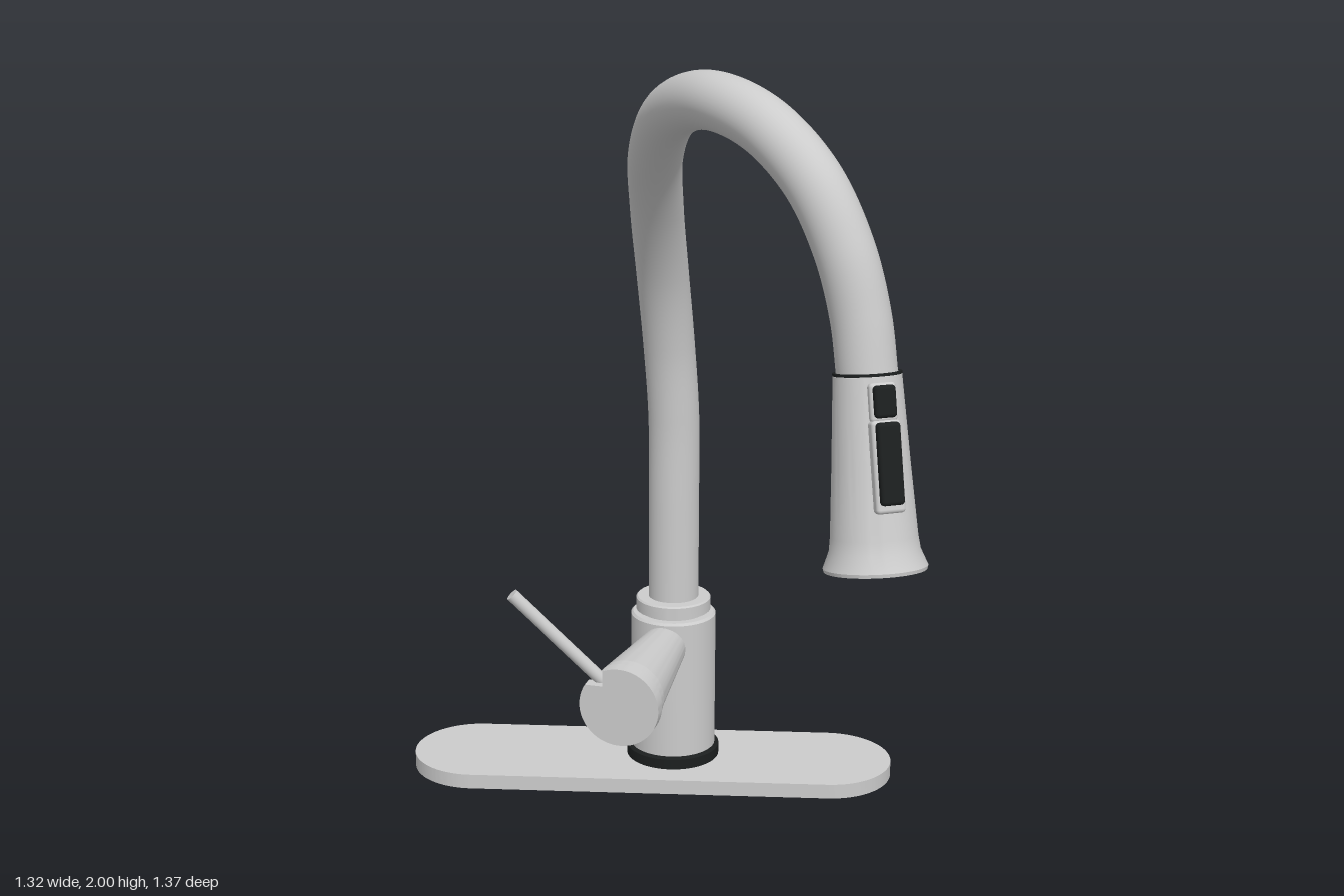
import * as THREE from 'three';
import { RoundedBoxGeometry } from 'three/addons/geometries/RoundedBoxGeometry.js';
import { toCreasedNormals } from 'three/addons/utils/BufferGeometryUtils.js';

const grey = new THREE.MeshStandardMaterial({ color: 0xcccccc });
const black = new THREE.MeshStandardMaterial({ color: 0x1c1f1f });
const AXIS_X = 0.044, AXIS_Z = -0.535;

function add(parent, name, geometry, material = grey) {
  const mesh = new THREE.Mesh(geometry, material);
  mesh.name = name;
  parent.add(mesh);
  return mesh;
}

// Turned part from [radius, height] pairs, listed bottom to top
function turned(points, segments = 64) {
  const profile = points.map(([r, y]) => new THREE.Vector2(r, y));
  return toCreasedNormals(new THREE.LatheGeometry(profile, segments), 0.5);
}

function extrude(shape, depth) {
  const g = new THREE.ExtrudeGeometry(shape, { depth, bevelEnabled: false, curveSegments: 40 });
  return toCreasedNormals(g, 0.5);
}

// Rod between two points
function rod(parent, name, a, b, r) {
  const dir = b.clone().sub(a);
  const mesh = add(parent, name, new THREE.CylinderGeometry(r, r, dir.length(), 24));
  mesh.position.copy(a).addScaledVector(dir, 0.5);
  mesh.quaternion.setFromUnitVectors(new THREE.Vector3(0, 1, 0), dir.normalize());
  return mesh;
}

function makePlate(parent) {
  const r = 0.1725, half = 0.48;
  const shape = new THREE.Shape();
  shape.absarc(half, 0, r, -Math.PI / 2, Math.PI / 2);
  shape.absarc(-half, 0, r, Math.PI / 2, Math.PI * 1.5);
  const plate = add(parent, 'deckPlate', extrude(shape, 0.04));
  plate.rotation.x = -Math.PI / 2;
  plate.position.set(-0.0125, 0, -0.5125);
}

function makeBody(parent) {
  const body = new THREE.Group();
  body.name = 'body';
  body.position.set(AXIS_X, 0, AXIS_Z);
  parent.add(body);
  add(body, 'sealRing', turned([[0, 0.04], [0.125, 0.04], [0.125, 0.068], [0.12, 0.073], [0, 0.073]]), black);
  add(body, 'bodyColumn', turned([[0, 0.07], [0.114, 0.07], [0.114, 0.449], [0.108, 0.455], [0, 0.455]]));
  add(body, 'collarNeck', turned([[0.088, 0.45], [0.088, 0.465]]));
  add(body, 'collar', turned([[0, 0.462], [0.1, 0.462], [0.1, 0.494], [0.096, 0.498], [0, 0.498]]));
}

// Swan neck: straight riser, then an arch swung round towards the front left
function makeSpout(parent) {
  const path = new THREE.CatmullRomCurve3([
    [0.044, 0.48, -0.535], [0.044, 0.75, -0.535], [0.043, 1.0, -0.533], [0.031, 1.2, -0.515],
    [0.017, 1.4, -0.46], [0.008, 1.59, -0.355], [0.014, 1.75, -0.215], [0.065, 1.88, -0.03],
    [0.164, 1.934, 0.16], [0.285, 1.9, 0.306], [0.39, 1.8, 0.404], [0.46, 1.66, 0.453],
    [0.498, 1.52, 0.476], [0.515, 1.395, 0.495],
  ].map((p) => new THREE.Vector3(...p)));
  add(parent, 'spoutTube', new THREE.TubeGeometry(path, 140, 0.067, 40));
}

// Flared pull-down spray head with two buttons
function makeSprayHead(parent) {
  const top = new THREE.Vector3(0.515, 1.4, 0.495);
  const bottom = new THREE.Vector3(0.543, 0.977, 0.571);
  const len = top.distanceTo(bottom);
  const head = new THREE.Group();
  head.name = 'sprayHead';
  head.position.copy(top);
  head.quaternion.setFromUnitVectors(new THREE.Vector3(0, 1, 0), top.clone().sub(bottom).normalize());
  parent.add(head);

  add(head, 'sprayShell', turned([
    [0.1, -len + 0.012], [0.104, -len], [0.113, -len], [0.115, -len + 0.008], [0.1, -len + 0.045],
    [0.096, -len + 0.075], [0.086, -0.2], [0.075, -0.004], [0.072, 0], [0, 0],
  ]));
  add(head, 'sprayFace', turned([[0, -len + 0.012], [0.1, -len + 0.012]]));
  add(head, 'sprayNozzleRing', turned([[0.06, -len + 0.012], [0.062, -len + 0.006], [0.07, -len + 0.006], [0.072, -len + 0.012]]));
  add(head, 'jointRing', turned([[0.07, -0.003], [0.0755, -0.003], [0.0755, 0.003], [0.068, 0.003]]), black);

  const panel = new THREE.Group();
  panel.name = 'buttonPanel';
  panel.rotation.set(-0.055, 0.38, 0, 'YXZ');
  head.add(panel);
  const parts = [
    ['upperBezel', 0.062, 0.085, 0.04, -0.062, 0.063, grey],
    ['lowerBezel', 0.068, 0.2, 0.04, -0.2, 0.07, grey],
    ['upperButton', 0.05, 0.07, 0.05, -0.06, 0.072, black],
    ['lowerButton', 0.054, 0.178, 0.05, -0.193, 0.08, black],
  ];
  for (const [name, w, h, d, y, z, mat] of parts) {
    add(panel, name, new RoundedBoxGeometry(w, h, d, 3, 0.009), mat).position.set(0, y, z);
  }
}

// Disc with a corner notch where the lever leaves
function notchedDisc(r) {
  const nx = -0.042, ny = 0.053;
  const a0 = Math.PI - Math.asin(ny / r);
  const a1 = Math.acos(nx / r) + Math.PI * 2;
  const shape = new THREE.Shape();
  shape.moveTo(nx, ny);
  shape.lineTo(r * Math.cos(a0), ny);
  shape.absarc(0, 0, r, a0, a1, false);
  shape.lineTo(nx, ny);
  return shape;
}

function makeHandle(parent) {
  const handle = new THREE.Group();
  handle.name = 'handle';
  handle.position.set(AXIS_X, 0.382, AXIS_Z);
  handle.rotation.y = -0.21;
  parent.add(handle);

  const cone = add(handle, 'handleCone', turned([[0, 0.05], [0.055, 0.05], [0.0925, 0.44], [0, 0.44]]));
  cone.rotation.x = Math.PI / 2;
  add(handle, 'handleBarrel', extrude(notchedDisc(0.0945), 0.04)).position.z = 0.44;
  add(handle, 'handleGroove', extrude(notchedDisc(0.09), 0.012), black).position.z = 0.478;
  add(handle, 'handleCap', extrude(notchedDisc(0.103), 0.037)).position.z = 0.488;

  rod(parent, 'lever', new THREE.Vector3(-0.085, 0.41, -0.073), new THREE.Vector3(-0.333, 0.672, -0.039), 0.0165);
}

export function createModel() {
  const model = new THREE.Group();
  model.name = 'kitchenFaucet';
  makePlate(model);
  makeBody(model);
  makeSpout(model);
  makeSprayHead(model);
  makeHandle(model);
  return model;
}
